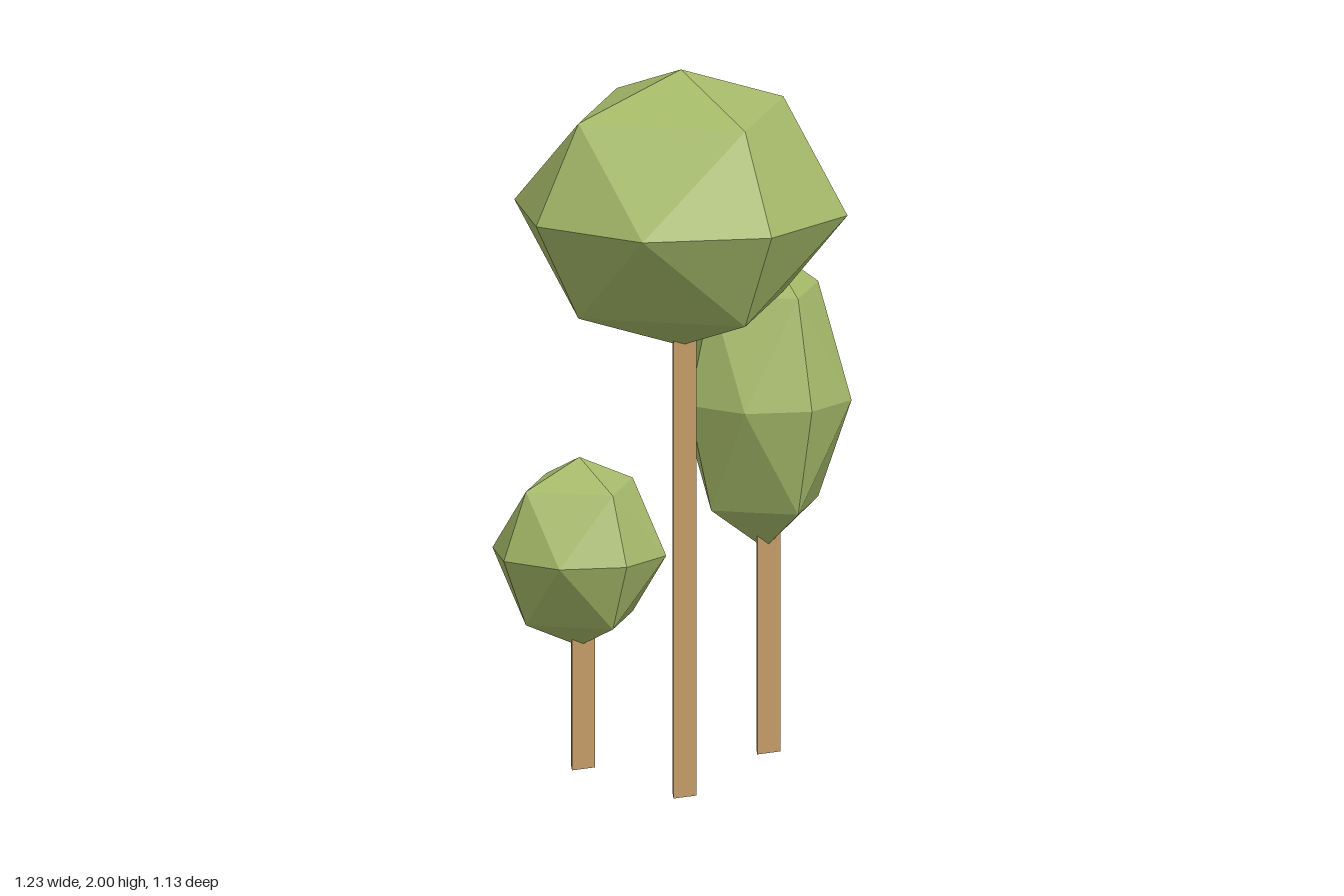
import * as THREE from 'three';

// All trees share one turn about the vertical axis
const TURN = THREE.MathUtils.degToRad(167.7);

// Position on the ground, crown centre height, crown radius and half height
const TREES = [
  { name: 'tallTree', x: -0.17, z: 0.115, y: 1.62, radius: 0.46, half: 0.38 },
  { name: 'ovalTree', x: 0.38, z: -0.125, y: 0.98, radius: 0.24, half: 0.42 },
  { name: 'smallTree', x: -0.117, z: -0.33, y: 0.595, radius: 0.24, half: 0.26 },
];

function createTree({ name, x, z, y, radius, half }, leafGreen, barkBrown) {
  const tree = new THREE.Group();
  tree.name = name;
  tree.position.set(x, 0, z);
  tree.rotation.y = TURN;

  // Faceted crown: octahedron split once, stretched
  const crownShape = new THREE.OctahedronGeometry(1, 1);
  crownShape.scale(radius, half, radius);
  crownShape.computeVertexNormals();
  const crown = new THREE.Mesh(crownShape, leafGreen);
  crown.name = 'crown';
  crown.position.y = y;

  // Three-sided trunk, ending inside the crown
  const height = y - half * 0.8;
  const trunkShape = new THREE.CylinderGeometry(0.0425, 0.0425, height, 3).toNonIndexed();
  trunkShape.computeVertexNormals();
  const trunk = new THREE.Mesh(trunkShape, barkBrown);
  trunk.name = 'trunk';
  trunk.position.y = height / 2;

  tree.add(crown, trunk);
  return tree;
}

export function createModel() {
  const leafGreen = new THREE.MeshStandardMaterial({ color: 0xa5b969 });
  leafGreen.name = 'leafGreen';
  const barkBrown = new THREE.MeshStandardMaterial({ color: 0xc49b66 });
  barkBrown.name = 'barkBrown';

  const model = new THREE.Group();
  model.name = 'treeGroup';
  for (const spec of TREES) model.add(createTree(spec, leafGreen, barkBrown));
  return model;
}
